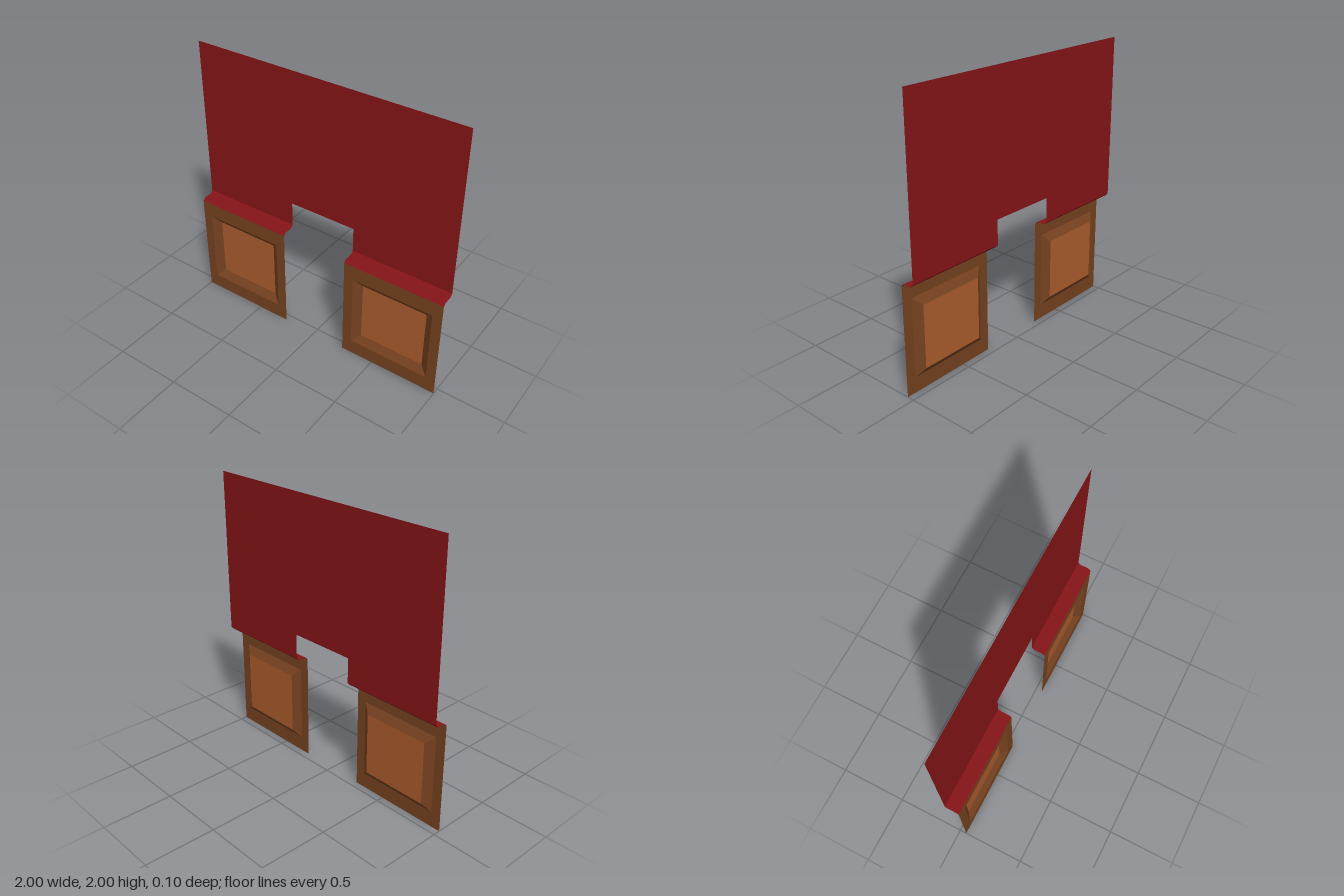
import * as THREE from 'three';

const BACK = -0.05, FRONT = 0.05, RECESS = 0.01; // depths of wall, frame and sunken panel
const GAP = 0.252; // half width of the doorway

const paint = (color) => new THREE.MeshStandardMaterial({ color, side: THREE.DoubleSide, flatShading: true });

// Counter-clockwise corners of a rectangle
const corners = (x0, y0, x1, y1) => [[x0, y0], [x1, y0], [x1, y1], [x0, y1]];
const toPath = (pts) => pts.map(([x, y]) => new THREE.Vector2(x, y));

function addMesh(parent, name, geometry, material, z = 0) {
  const mesh = new THREE.Mesh(geometry, material);
  mesh.name = name;
  mesh.position.z = z;
  parent.add(mesh);
}

// Sloped ring joining an outer rectangle to an inner one at another depth
function bevelGeometry(outer, zOuter, inner, zInner) {
  const pos = [];
  for (let i = 0; i < 4; i++) {
    const j = (i + 1) % 4;
    const a = [...outer[i], zOuter], b = [...outer[j], zOuter];
    const c = [...inner[j], zInner], d = [...inner[i], zInner];
    pos.push(...a, ...b, ...c, ...a, ...c, ...d);
  }
  const g = new THREE.BufferGeometry();
  g.setAttribute('position', new THREE.Float32BufferAttribute(pos, 3));
  g.computeVertexNormals();
  return g;
}

// Stepped strip: each row of a plane is moved onto a [z, y] profile
function ledgeGeometry(width) {
  const profile = [[BACK, 0.82], [-0.03, 0.8], [0.03, 0.8], [FRONT, 0.78]];
  const plane = new THREE.PlaneGeometry(width, 1, 1, profile.length - 1);
  const p = plane.attributes.position;
  for (let i = 0; i < p.count; i++) {
    const [z, y] = profile[Math.floor(i / 2)];
    p.setXYZ(i, p.getX(i), y, z);
  }
  const g = plane.toNonIndexed();
  g.computeVertexNormals();
  return g;
}

export function createModel() {
  const model = new THREE.Group();
  model.name = 'panelledDoorwayWall';
  const red = paint(0x841417), wood = paint(0x74401f), lightWood = paint(0xa85a2c);

  // Upper wall with the doorway notch
  const wall = new THREE.Shape(toPath([
    [-1, 0.82], [-GAP, 0.82], [-GAP, 1], [GAP, 1], [GAP, 0.82], [1, 0.82], [1, 2], [-1, 2],
  ]));
  addMesh(model, 'upperWall', new THREE.ShapeGeometry(wall), red, BACK);

  // Wainscot on either side of the doorway
  for (const side of [-1, 1]) {
    const half = new THREE.Group();
    half.name = side > 0 ? 'leftWainscot' : 'rightWainscot';
    half.position.x = side * (1 + GAP) / 2;
    model.add(half);

    const w = (1 - GAP) / 2;
    const outer = corners(-0.302, 0.11, 0.302, 0.67);
    const inner = corners(-0.244, 0.165, 0.244, 0.615);

    const frame = new THREE.Shape(toPath(corners(-w, 0, w, 0.78)));
    frame.holes.push(new THREE.Path(toPath(outer)));
    addMesh(half, 'frame', new THREE.ShapeGeometry(frame), wood, FRONT);
    addMesh(half, 'bevel', bevelGeometry(outer, FRONT, inner, RECESS), wood);
    addMesh(half, 'sunkenPanel', new THREE.ShapeGeometry(new THREE.Shape(toPath(inner))), lightWood, RECESS);
    addMesh(half, 'ledge', ledgeGeometry(2 * w), red);
  }
  return model;
}
